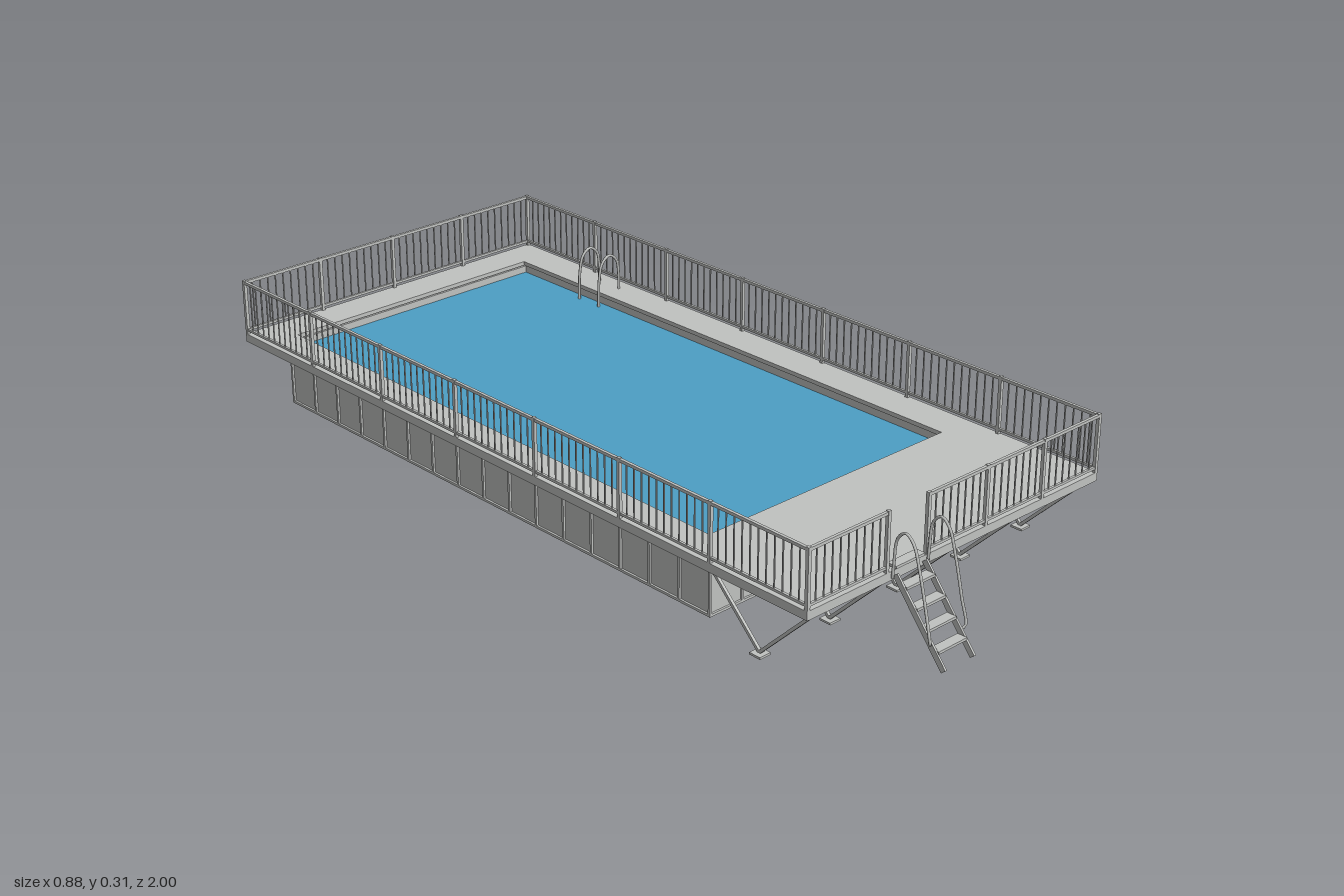
import * as THREE from 'three';

const grey = new THREE.MeshStandardMaterial({ color: 0xc0c2c0 });
grey.name = 'galvanised grey';
const blue = new THREE.MeshStandardMaterial({ color: 0x4d9fc5 });
blue.name = 'water blue';
const navy = new THREE.MeshStandardMaterial({ color: 0x265a8c });
navy.name = 'floor blue';

// Deck and tank limits
const X = 0.44, Z0 = -1, Z1 = 0.855, TOP = 0.177;
const WX = 0.37, WZ0 = -0.925, WZ1 = 0.52, WTOP = 0.164;

export function createModel() {
  const root = new THREE.Group();
  root.name = 'raisedPool';

  const group = (name) => {
    const g = new THREE.Group();
    g.name = name;
    root.add(g);
    return g;
  };
  const add = (parent, name, geo, mat = grey) => {
    const m = new THREE.Mesh(geo, mat);
    m.name = name;
    parent.add(m);
    return m;
  };
  // Box given by its limits on each axis
  const box = (parent, name, x0, x1, y0, y1, z0, z1, mat = grey) => {
    const m = add(parent, name, new THREE.BoxGeometry(x1 - x0, y1 - y0, z1 - z0), mat);
    m.position.set((x0 + x1) / 2, (y0 + y1) / 2, (z0 + z1) / 2);
    return m;
  };
  // Square bar between two points
  const bar = (parent, name, a, b, w = 0.008, h = w) => {
    const p = new THREE.Vector3(...a), q = new THREE.Vector3(...b);
    const m = add(parent, name, new THREE.BoxGeometry(w, h, p.distanceTo(q)));
    m.position.copy(p).add(q).multiplyScalar(0.5);
    m.lookAt(q);
    return m;
  };
  const tube = (parent, name, pts, r) => {
    const curve = new THREE.CatmullRomCurve3(pts.map((p) => new THREE.Vector3(...p)));
    return add(parent, name, new THREE.TubeGeometry(curve, 40, r, 8));
  };

  // Deck plate with the pool opening
  const deck = group('deck');
  const shape = new THREE.Shape();
  shape.moveTo(-X, -Z1).lineTo(X, -Z1).lineTo(X, -Z0).lineTo(-X, -Z0).closePath();
  const hole = new THREE.Path();
  hole.moveTo(-0.354, -0.5).lineTo(-0.354, 0.91).lineTo(0.35, 0.91).lineTo(0.35, -0.5).closePath();
  shape.holes.push(hole);
  const plate = new THREE.ExtrudeGeometry(shape, { depth: 0.01, bevelEnabled: false });
  plate.rotateX(-Math.PI / 2).translate(0, TOP - 0.01, 0);
  add(deck, 'deckPlate', plate);

  // Edge beams and joists under the deck
  for (const s of [-1, 1]) {
    bar(deck, 'sideBeam', [s * (X - 0.005), 0.164, Z0], [s * (X - 0.005), 0.164, Z1], 0.01, 0.014);
    bar(deck, 'sideStringer', [s * 0.4, 0.163, Z0], [s * 0.4, 0.163, Z1], 0.008, 0.012);
  }
  box(deck, 'frontBeam', -X, X, 0.157, 0.171, Z1 - 0.01, Z1);
  box(deck, 'backBeam', -X, X, 0.157, 0.171, Z0, Z0 + 0.01);
  for (let i = 0; i < 7; i++) {
    const z = 0.54 + i * 0.045;
    box(deck, 'joist', -X, X, 0.158, 0.169, z - 0.005, z + 0.005);
  }

  // Tank walls with ribs and edge frames
  const tank = group('tank');
  const t = 0.005, thick = 0.01;
  for (const s of [-1, 1]) {
    const a = s * (WX - t), b = s * (WX - t - thick);
    box(tank, 'sidePanel', Math.min(a, b), Math.max(a, b), 0, WTOP, WZ0 + t, WZ1 - t);
    const zo = s > 0 ? WZ1 - t - thick : WZ0 + t;
    box(tank, 'endPanel', -WX + t, WX - t, 0, WTOP, zo, zo + thick);
    const xs = s * (WX - t / 2), zs = s > 0 ? WZ1 - t / 2 : WZ0 + t / 2;
    for (const y of [0.003, WTOP - 0.003]) {
      bar(tank, 'sideFrame', [xs, y, WZ0], [xs, y, WZ1], t, 0.006);
      bar(tank, 'endFrame', [-WX, y, zs], [WX, y, zs], t, 0.006);
    }
    for (let i = 0; i <= 16; i++) {
      const z = THREE.MathUtils.lerp(WZ0 + 0.003, WZ1 - 0.003, i / 16);
      box(tank, 'sideRib', xs - t / 2, xs + t / 2, 0, WTOP, z - 0.003, z + 0.003);
    }
    for (let i = 0; i <= 8; i++) {
      const x = THREE.MathUtils.lerp(-WX + 0.003, WX - 0.003, i / 8);
      box(tank, 'endRib', x - 0.003, x + 0.003, 0, WTOP, zs - t / 2, zs + t / 2);
    }
  }
  box(tank, 'poolFloor', -WX + t, WX - t, 0.0, 0.004, WZ0 + t, WZ1 - t, navy).position.y -= 0.0005;
  box(tank, 'water', -0.356, 0.356, 0.142, 0.147, WZ0 + 0.014, WZ1 - 0.014, blue);

  // Diagonal brackets below the walkway
  const brackets = group('brackets');
  for (let i = 0; i < 8; i++) {
    const z = 0.5 - i * 0.1753;
    for (const s of [-1, 1]) {
      bar(brackets, 'sideBracket', [s * 0.366, 0.13, z], [s * 0.405, 0.158, z], 0.006);
      bar(brackets, 'sideArm', [s * 0.366, 0.162, z], [s * 0.435, 0.162, z], 0.006, 0.01);
    }
  }
  for (const x of [-0.28, -0.14, 0, 0.14, 0.28]) {
    bar(brackets, 'backBracket', [x, 0.13, WZ0 + 0.003], [x, 0.158, -0.965], 0.006);
    bar(brackets, 'backArm', [x, 0.162, WZ0], [x, 0.162, Z0 + 0.01], 0.006, 0.01);
  }

  // V-shaped legs carrying the front terrace
  const legs = group('terraceLegs');
  for (const x of [-0.4, -0.2, 0, 0.2, 0.4]) {
    box(legs, 'footPlate', x - 0.015, x + 0.015, 0, 0.005, 0.678, 0.708);
    bar(legs, 'frontLeg', [x, 0.006, 0.693], [x, 0.16, 0.848], 0.007);
    bar(legs, 'rearLeg', [x, 0.006, 0.693], [x, 0.155, 0.54], 0.007);
    bar(legs, 'legBeam', [x, 0.158, 0.515], [x, 0.158, Z1 - 0.005], 0.008, 0.01);
  }

  // Railings: posts at even steps, two rails, thin balusters
  const railings = group('railings');
  const railing = (a, b, bays) => {
    const at = (k) => [THREE.MathUtils.lerp(a[0], b[0], k), THREE.MathUtils.lerp(a[1], b[1], k)];
    const length = Math.hypot(b[0] - a[0], b[1] - a[1]);
    bar(railings, 'topRail', [a[0], 0.308, a[1]], [b[0], 0.308, b[1]], 0.007);
    bar(railings, 'bottomRail', [a[0], 0.188, a[1]], [b[0], 0.188, b[1]], 0.006);
    for (let i = 0; i <= bays; i++) {
      const [x, z] = at(i / bays);
      box(railings, 'post', x - 0.004, x + 0.004, 0.17, 0.313, z - 0.004, z + 0.004);
    }
    const per = Math.round(length / bays / 0.0215), n = per * bays;
    for (let i = 1; i < n; i++) {
      if (i % per === 0) continue;
      const [x, z] = at(i / n);
      box(railings, 'baluster', x - 0.0013, x + 0.0013, 0.188, 0.307, z - 0.0013, z + 0.0013);
    }
  };
  const rx = X - 0.004, rf = Z1 - 0.004, rb = Z0 + 0.004;
  railing([-rx, rb], [-rx, rf], 7);
  railing([rx, rb], [rx, rf], 7);
  railing([-rx, rb], [rx, rb], 4);
  railing([-rx, rf], [-0.215, rf], 1);
  railing([-0.098, rf], [rx, rf], 3);

  // Entry stairs with curved handrails
  const stairs = group('entryStairs');
  for (const x of [-0.197, -0.111]) {
    bar(stairs, 'stringer', [x, 0.008, 0.994], [x, 0.17, 0.86], 0.005, 0.014);
    const rail = x + (x < -0.15 ? -0.009 : 0.009);
    tube(stairs, 'handrail', [
      [x, 0.055, 0.955], [rail, 0.06, 0.963], [rail, 0.12, 0.95], [rail, 0.2, 0.93],
      [rail, 0.258, 0.91], [rail, 0.274, 0.89], [rail, 0.255, 0.869], [rail, 0.2, 0.862], [rail, 0.165, 0.86],
    ], 0.0032);
  }
  for (let i = 0; i < 5; i++) {
    const y = 0.042 + i * 0.0355, z = 0.994 - (y - 0.008) * 0.827;
    box(stairs, 'tread', -0.196, -0.112, y - 0.003, y + 0.003, z - 0.012, z + 0.012);
  }

  // Arched pool ladder reaching into the water
  const ladder = group('poolLadder');
  for (const z of [-0.68, -0.608]) {
    tube(ladder, 'ladderRail', [
      [0.403, 0.172, z], [0.403, 0.22, z], [0.396, 0.255, z], [0.372, 0.273, z],
      [0.349, 0.257, z], [0.339, 0.22, z], [0.336, 0.17, z], [0.336, 0.03, z],
    ], 0.0035);
  }
  for (const y of [0.05, 0.085, 0.12]) box(ladder, 'rung', 0.328, 0.344, y - 0.003, y + 0.003, -0.68, -0.608);

  return root;
}
